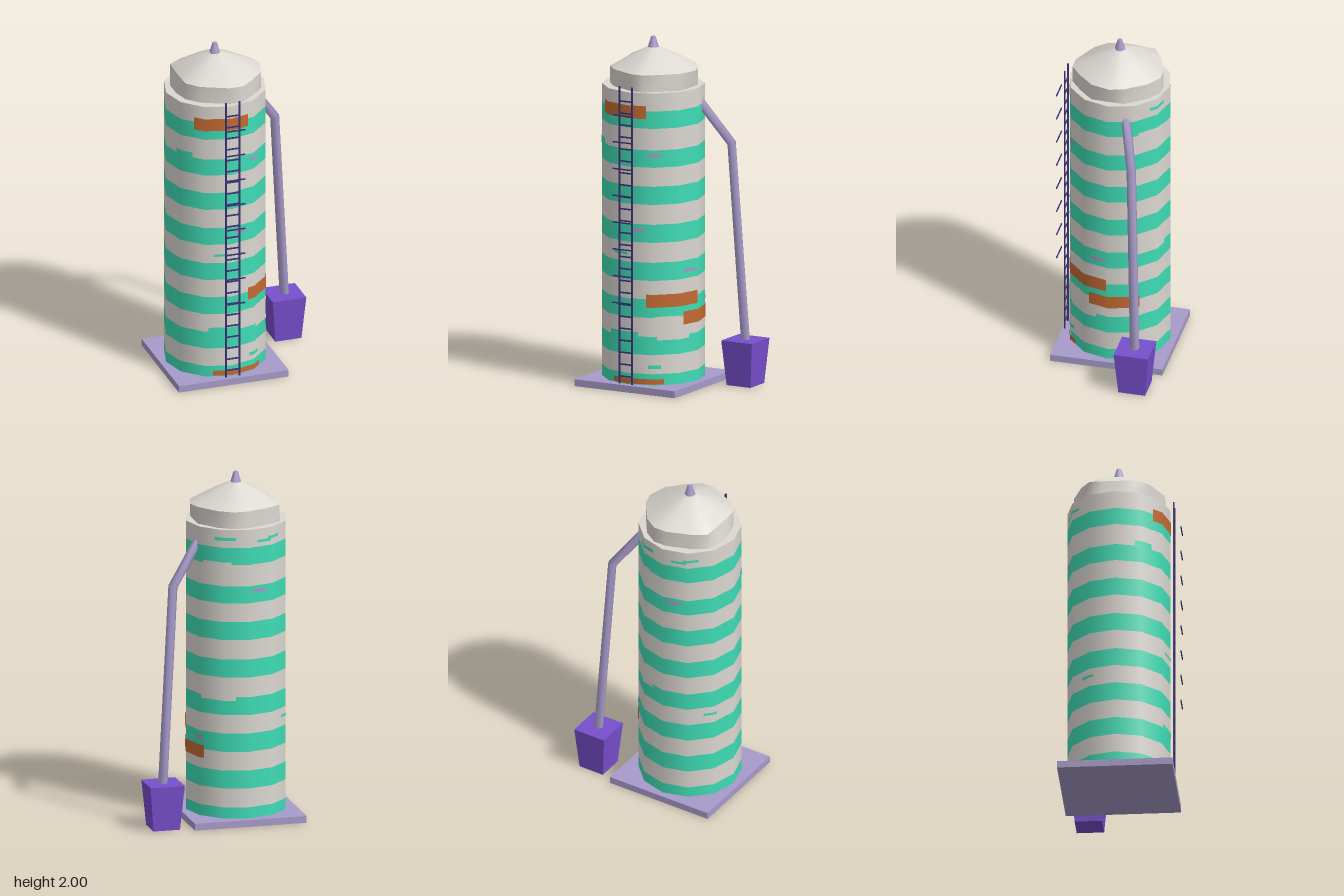
import * as THREE from 'three';

const CX = -0.13, CZ = -0.018, R = 0.292;
const DEG = Math.PI / 180;

function mat(name, color, side = THREE.FrontSide) {
  const m = new THREE.MeshStandardMaterial({ color, side });
  m.name = name;
  return m;
}

// Curved plate that hugs the twelve-sided tank; degrees run from +z towards +x
function wallPlate(a0, a1, y0, y1, lift = 0) {
  const angles = [a0];
  for (let a = Math.floor(a0 / 30) * 30 + 30; a < a1; a += 30) angles.push(a);
  angles.push(a1);
  const pos = [], nor = [], idx = [];
  angles.forEach((a, i) => {
    const local = ((a % 30) + 30) % 30 - 15;
    const r = R * Math.cos(15 * DEG) / Math.cos(local * DEG) + lift;
    const s = Math.sin(a * DEG), c = Math.cos(a * DEG);
    for (const y of [y0, y1]) {
      pos.push(s * r, y, c * r);
      nor.push(s, 0, c);
    }
    if (i) {
      const k = 2 * i;
      idx.push(k - 2, k, k + 1, k - 2, k + 1, k - 1);
    }
  });
  const g = new THREE.BufferGeometry();
  g.setAttribute('position', new THREE.Float32BufferAttribute(pos, 3));
  g.setAttribute('normal', new THREE.Float32BufferAttribute(nor, 3));
  g.setIndex(idx);
  return g;
}

// Skin over a list of rings, each with the same number of [x, y, z] points
function loft(rings) {
  const n = rings[0].length, idx = [];
  for (let j = 0; j < rings.length - 1; j++) {
    for (let i = 0; i < n; i++) {
      const a = j * n + i, b = j * n + (i + 1) % n;
      idx.push(a, b, b + n, a, b + n, a + n);
    }
  }
  const g = new THREE.BufferGeometry();
  g.setAttribute('position', new THREE.Float32BufferAttribute(rings.flat(2), 3));
  g.setIndex(idx);
  g.computeVertexNormals();
  return g;
}

export function createModel() {
  const model = new THREE.Group();
  const cream = mat('cream', 0xdcd8d2, THREE.DoubleSide);
  const green = mat('mint green', 0x3fddb5, THREE.DoubleSide);
  const rust = mat('rust orange', 0xc46a32, THREE.DoubleSide);
  const lilac = mat('lilac', 0xa79bc9, THREE.DoubleSide);
  const violet = mat('violet', 0x784fcd);
  const navy = mat('dark indigo', 0x3b3377);

  const add = (parent, name, geo, material, x = 0, y = 0, z = 0) => {
    const mesh = new THREE.Mesh(geo, material);
    mesh.name = name;
    mesh.position.set(x, y, z);
    parent.add(mesh);
    return mesh;
  };

  // Base slab
  add(model, 'baseSlab', new THREE.BoxGeometry(0.655, 0.04, 0.655), lilac, -0.1285, 0.02, -0.0175);

  // Tank wall in alternating bands
  const tank = new THREE.Group();
  tank.name = 'tank';
  tank.position.set(CX, 0, CZ);
  model.add(tank);
  const levels = [0.04, 0.105, 0.215, 0.32, 0.43, 0.537, 0.645, 0.75, 0.865,
    0.97, 1.085, 1.19, 1.30, 1.40, 1.525, 1.625, 1.73];
  for (let i = 0; i < levels.length - 1; i++) {
    add(tank, i % 2 ? 'creamBand' : 'greenBand',
      wallPlate(0, 360, levels[i], levels[i + 1]), i % 2 ? cream : green);
  }
  const lid = new THREE.CircleGeometry(R, 12).rotateX(-Math.PI / 2);
  add(tank, 'tankTop', lid, cream, 0, 1.73, 0);

  // Worn paint: start angle, end angle, bottom, top
  const patches = [
    ['rustPatch', rust, [[-43, 22, 1.58, 1.655], [22, 88, 0.49, 0.565],
      [66, 126, 0.38, 0.455], [-21, 42, 0.045, 0.075]]],
    ['lilacChip', lilac, [[24, 39, 1.36, 1.38], [4, 20, 0.925, 0.945],
      [68, 87, 0.68, 0.70], [113, 124, 0.485, 0.51], [184, 202, 1.36, 1.38]]],
    ['greenChip', green, [[-20, 0, 0.79, 0.805], [24, 39, 0.135, 0.155], [-68, -45, 1.39, 1.43],
      [-26, 12, 0.31, 0.345], [190, 208, 1.65, 1.665], [204, 222, 1.665, 1.68],
      [228, 244, 0.59, 0.605], [140, 165, 1.665, 1.685]]],
    ['creamChip', cream, [[125, 160, 1.515, 1.54], [34, 75, 0.30, 0.325],
      [122, 165, 0.73, 0.755], [32, 60, 0.42, 0.437]]],
  ];
  for (const [name, material, list] of patches) {
    const lift = material === rust ? 0.004 : 0.0025;
    for (const p of list) add(tank, name, wallPlate(...p, lift), material);
  }

  // Lopsided roof: short skirt and shallow dome
  const rim = [[-0.05, 0.24], [0.03, 0.175], [0.11, 0.09], [0.14, -0.02], [0.115, -0.1],
    [0.03, -0.22], [-0.05, -0.272], [-0.13, -0.272], [-0.27, -0.22], [-0.345, -0.17],
    [-0.37, -0.1], [-0.37, 0.01], [-0.345, 0.1], [-0.28, 0.17], [-0.13, 0.24]];
  const roofRing = (k, y, dx = 0) => rim.map(([x, z]) => [
    CX + (x - CX) * k + dx, y, CZ + (z - CZ) * k]);
  const eave = rim.map(([x, z]) => [Math.max(x, -0.348), 1.828, z]);
  const foot = rim.map(([x, z]) => [Math.min(x, 0.114), 1.728, z]);
  const roof = new THREE.Group();
  roof.name = 'roof';
  model.add(roof);
  add(roof, 'roofSkirt', loft([foot, eave]), cream);
  add(roof, 'roofDome', loft([eave, roofRing(0.55, 1.892),
    roofRing(0.15, 1.938), roofRing(0.001, 1.942)]), cream);

  // Finial
  add(model, 'finial', new THREE.CylinderGeometry(0.013, 0.034, 0.07, 6), lilac, CX, 1.965, CZ);

  // Bent six-sided downpipe, mitred at the elbow
  const pipePoints = [[0.10, 1.66, -0.105], [0.285, 1.395, -0.185], [0.355, 0.24, -0.222]]
    .map(p => new THREE.Vector3(...p));
  const side = new THREE.Vector3(0.39, 0, 0.92).normalize();
  const pipeRings = pipePoints.map((p, i) => {
    const d = pipePoints[Math.min(i + 1, 2)].clone()
      .sub(p).normalize();
    if (i) d.add(p.clone().sub(pipePoints[i - 1]).normalize()).normalize();
    const out = side.clone().cross(d).normalize();
    return Array.from({ length: 6 }, (_, k) => p.clone()
      .addScaledVector(side, 0.027 * Math.cos(k * 60 * DEG))
      .addScaledVector(out, 0.027 * Math.sin(k * 60 * DEG)).toArray());
  });
  add(model, 'downpipe', loft(pipeRings), lilac);

  // Tapered bin under the pipe
  const bin = new THREE.BoxGeometry(0.2, 0.26, 0.2);
  const bp = bin.attributes.position;
  for (let i = 0; i < bp.count; i++) {
    if (bp.getY(i) < 0) bp.setXYZ(i, bp.getX(i) * 0.78, bp.getY(i), bp.getZ(i) * 0.78);
  }
  bin.computeVertexNormals();
  add(model, 'bin', bin, violet, 0.353, 0.13, -0.223);

  // Ladder with rungs and outer guard bars
  const ladder = new THREE.Group();
  ladder.name = 'ladder';
  model.add(ladder);
  for (const x of [-0.17, -0.088]) {
    add(ladder, 'ladderRail', new THREE.BoxGeometry(0.01, 1.72, 0.008), navy, x, 0.905, 0.295);
  }
  for (let i = 0; i < 24; i++) {
    add(ladder, 'ladderRung', new THREE.BoxGeometry(0.082, 0.008, 0.006), navy,
      -0.129, 0.088 + i * 0.0692, 0.295);
  }
  for (let i = 0; i < 8; i++) {
    add(ladder, 'guardBar', new THREE.BoxGeometry(0.12, 0.007, 0.006), navy,
      -0.13, 0.52 + i * 0.155, 0.338);
  }
  return model;
}
